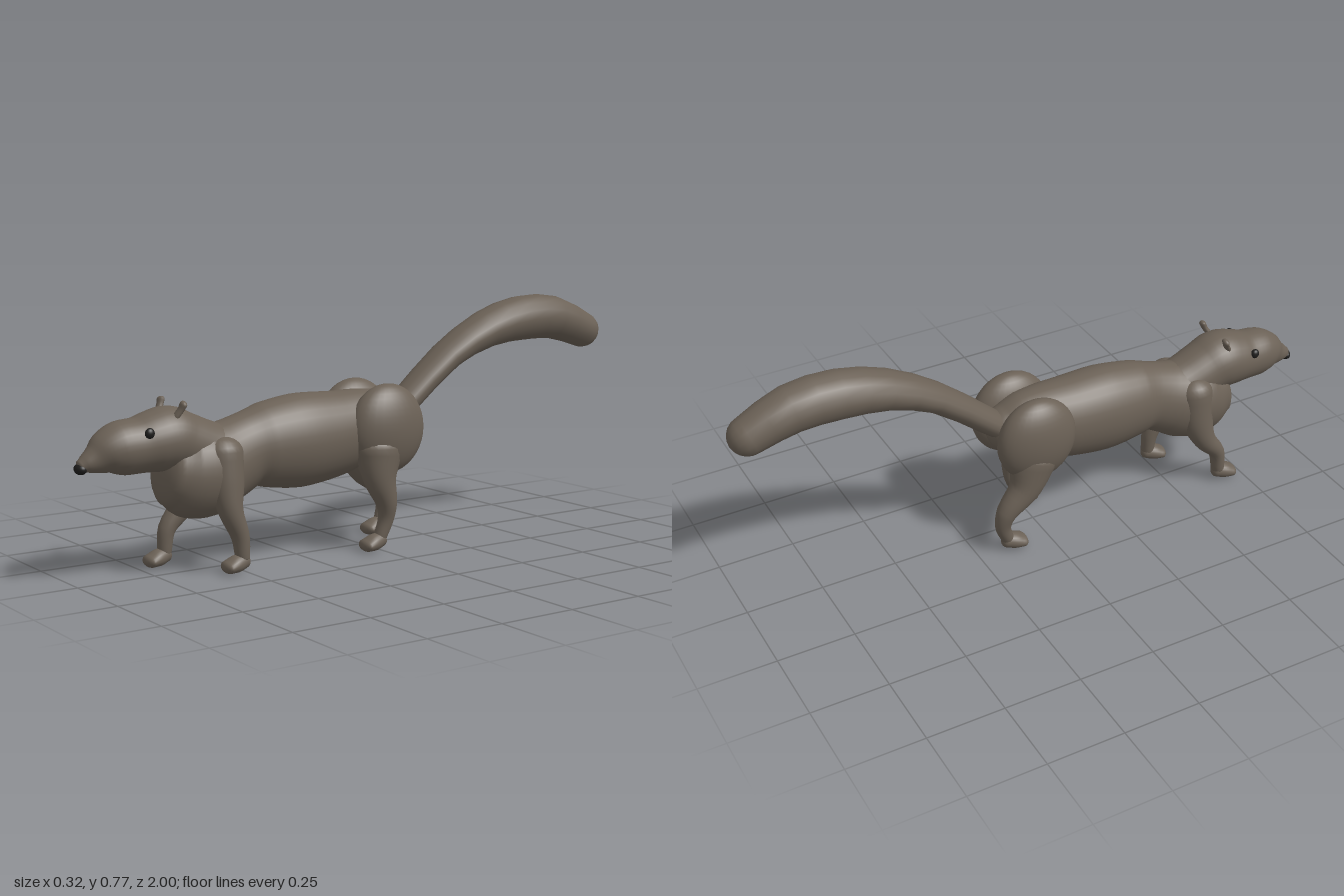
import * as THREE from 'three';

const fur = new THREE.MeshStandardMaterial({ color: 0x6b6156 });
fur.name = 'greyBrownFur';
const dark = new THREE.MeshStandardMaterial({ color: 0x1f1e1d });
dark.name = 'darkNoseAndEyes';

// Smooth skin over elliptical sections [x, y, z, halfWidth, halfHeight], with rounded ends.
function loft(name, sections, { sides = 24, steps = 4, caps = [0.02, 0.02] } = {}) {
  const path = new THREE.CatmullRomCurve3(sections.map(s => new THREE.Vector3(s[0], s[1], s[2])));
  const size = new THREE.CatmullRomCurve3(sections.map((s, i) => new THREE.Vector3(s[3], s[4] ?? s[3], i * 0.05)));
  const rings = [];
  const add = (t, push, scale) => {
    const tangent = path.getTangent(t);
    const center = path.getPoint(t).addScaledVector(tangent, push);
    const side = new THREE.Vector3(1, 0, 0).addScaledVector(tangent, -tangent.x).normalize();
    const up = new THREE.Vector3().crossVectors(tangent, side);
    const r = size.getPoint(t);
    rings.push({ center, side, up, rx: r.x * scale, ry: r.y * scale });
  };
  const capSteps = 5;
  for (let i = 0; i < capSteps; i++) {
    const a = (1 - i / capSteps) * Math.PI / 2;
    add(0, -Math.sin(a) * caps[0], Math.max(Math.cos(a), 0.01));
  }
  const n = (sections.length - 1) * steps;
  for (let i = 0; i <= n; i++) add(i / n, 0, 1);
  for (let i = 1; i <= capSteps; i++) {
    const a = i / capSteps * Math.PI / 2;
    add(1, Math.sin(a) * caps[1], Math.max(Math.cos(a), 0.01));
  }
  const pos = [], idx = [];
  rings.forEach((r, i) => {
    for (let j = 0; j < sides; j++) {
      const a = j / sides * Math.PI * 2;
      const p = r.center.clone()
        .addScaledVector(r.side, Math.cos(a) * r.rx)
        .addScaledVector(r.up, Math.sin(a) * r.ry);
      pos.push(p.x, p.y, p.z);
      if (i < rings.length - 1) {
        const k = (j + 1) % sides, A = i * sides, B = A + sides;
        idx.push(A + j, A + k, B + j, A + k, B + k, B + j);
      }
    }
  });
  const g = new THREE.BufferGeometry();
  g.setAttribute('position', new THREE.Float32BufferAttribute(pos, 3));
  g.setIndex(idx);
  g.computeVertexNormals();
  const mesh = new THREE.Mesh(g, fur);
  mesh.name = name;
  return mesh;
}

function ellipsoid(name, [x, y, z], [rx, ry, rz], material = fur) {
  const mesh = new THREE.Mesh(new THREE.SphereGeometry(1, 28, 20), material);
  mesh.name = name;
  mesh.position.set(x, y, z);
  mesh.scale.set(rx, ry, rz);
  return mesh;
}

// A leg follows its joints and ends in a paw; s picks the side of the body.
function leg(name, s, joints, pawZ) {
  const g = new THREE.Group();
  g.name = name;
  g.add(loft(name + 'Limb', joints.map(([x, ...rest]) => [s * x, ...rest]), { caps: [0.05, 0.015] }));
  g.add(loft(name + 'Paw', [
    [s * 0.104, 0.036, pawZ - 0.028, 0.023, 0.024],
    [s * 0.103, 0.028, pawZ, 0.032, 0.026],
    [s * 0.102, 0.021, pawZ + 0.026, 0.036, 0.02],
  ], { caps: [0.016, 0.018] }));
  return g;
}

export function createModel() {
  const model = new THREE.Group();
  model.name = 'animal';

  // Long torso with a deep round chest
  model.add(loft('torso', [
    [0, 0.40, -0.12, 0.07, 0.07],
    [0, 0.395, -0.06, 0.09, 0.105],
    [0, 0.385, 0.03, 0.105, 0.123],
    [0, 0.370, 0.12, 0.115, 0.138],
    [0, 0.362, 0.25, 0.12, 0.147],
    [0, 0.358, 0.37, 0.109, 0.132],
    [0, 0.350, 0.43, 0.097, 0.117],
    [0, 0.325, 0.50, 0.106, 0.125],
    [0, 0.302, 0.57, 0.122, 0.14],
    [0, 0.302, 0.64, 0.117, 0.137],
    [0, 0.310, 0.69, 0.097, 0.108],
  ], { sides: 32, caps: [0.04, 0.04] }));

  // Neck, skull and tapering snout
  model.add(loft('headAndNeck', [
    [0, 0.335, 0.50, 0.09, 0.095],
    [0, 0.365, 0.58, 0.09, 0.09],
    [0, 0.395, 0.65, 0.093, 0.09],
    [0, 0.410, 0.70, 0.098, 0.097],
    [0, 0.406, 0.75, 0.095, 0.092],
    [0, 0.399, 0.80, 0.086, 0.083],
    [0, 0.395, 0.86, 0.079, 0.08],
    [0, 0.386, 0.90, 0.066, 0.066],
    [0, 0.371, 0.935, 0.044, 0.045],
    [0, 0.360, 0.965, 0.031, 0.028],
    [0, 0.354, 0.98, 0.022, 0.02],
  ], { sides: 32, caps: [0.04, 0.01] }));
  model.add(ellipsoid('nose', [0, 0.347, 0.982], [0.025, 0.017, 0.018], dark));

  // Arched tail, thickest past the middle
  model.add(loft('tail', [
    [0, 0.37, -0.07, 0.05, 0.04],
    [0, 0.45, -0.17, 0.058, 0.042],
    [0, 0.587, -0.34, 0.067, 0.046],
    [0, 0.665, -0.50, 0.077, 0.061],
    [0, 0.695, -0.65, 0.08, 0.075],
    [0, 0.691, -0.80, 0.076, 0.073],
    [0, 0.642, -0.935, 0.062, 0.061],
  ], { sides: 16, steps: 2, caps: [0.03, 0.062] }));

  // Paired features
  for (const s of [1, -1]) {
    const side = s > 0 ? 'left' : 'right';
    model.add(ellipsoid(side + 'Eye', [s * 0.077, 0.443, 0.798], [0.012, 0.016, 0.015], dark));
    model.add(loft(side + 'Ear', [
      [s * 0.056, 0.482, 0.70, 0.015, 0.009],
      [s * 0.064, 0.502, 0.688, 0.014, 0.009],
      [s * 0.069, 0.517, 0.682, 0.016, 0.01],
    ], { sides: 14, caps: [0.01, 0.01] }));
    model.add(ellipsoid(side + 'Haunch', [s * 0.09, 0.385, -0.035], [0.072, 0.143, 0.135]));
  }

  // Legs in a walking pose
  model.add(leg('leftForeleg', 1, [
    [0.072, 0.36, 0.55, 0.055, 0.06],
    [0.085, 0.27, 0.55, 0.05, 0.055],
    [0.1, 0.19, 0.545, 0.038, 0.038],
    [0.103, 0.11, 0.515, 0.029, 0.028],
    [0.104, 0.045, 0.508, 0.024, 0.022],
  ], 0.53));
  model.add(leg('rightForeleg', -1, [
    [0.072, 0.36, 0.57, 0.055, 0.06],
    [0.085, 0.26, 0.575, 0.05, 0.055],
    [0.1, 0.18, 0.60, 0.038, 0.038],
    [0.103, 0.115, 0.65, 0.029, 0.027],
    [0.104, 0.045, 0.66, 0.024, 0.022],
  ], 0.683));
  model.add(leg('leftHindLeg', 1, [
    [0.095, 0.32, 0.0, 0.066, 0.085],
    [0.108, 0.235, 0.005, 0.048, 0.056],
    [0.113, 0.15, -0.018, 0.034, 0.034],
    [0.109, 0.10, -0.018, 0.025, 0.026],
    [0.104, 0.045, 0.0, 0.022, 0.021],
  ], 0.025));
  model.add(leg('rightHindLeg', -1, [
    [0.095, 0.32, -0.05, 0.066, 0.085],
    [0.108, 0.23, -0.085, 0.048, 0.056],
    [0.113, 0.155, -0.155, 0.034, 0.034],
    [0.109, 0.10, -0.167, 0.025, 0.026],
    [0.104, 0.045, -0.15, 0.022, 0.021],
  ], -0.125));

  return model;
}
